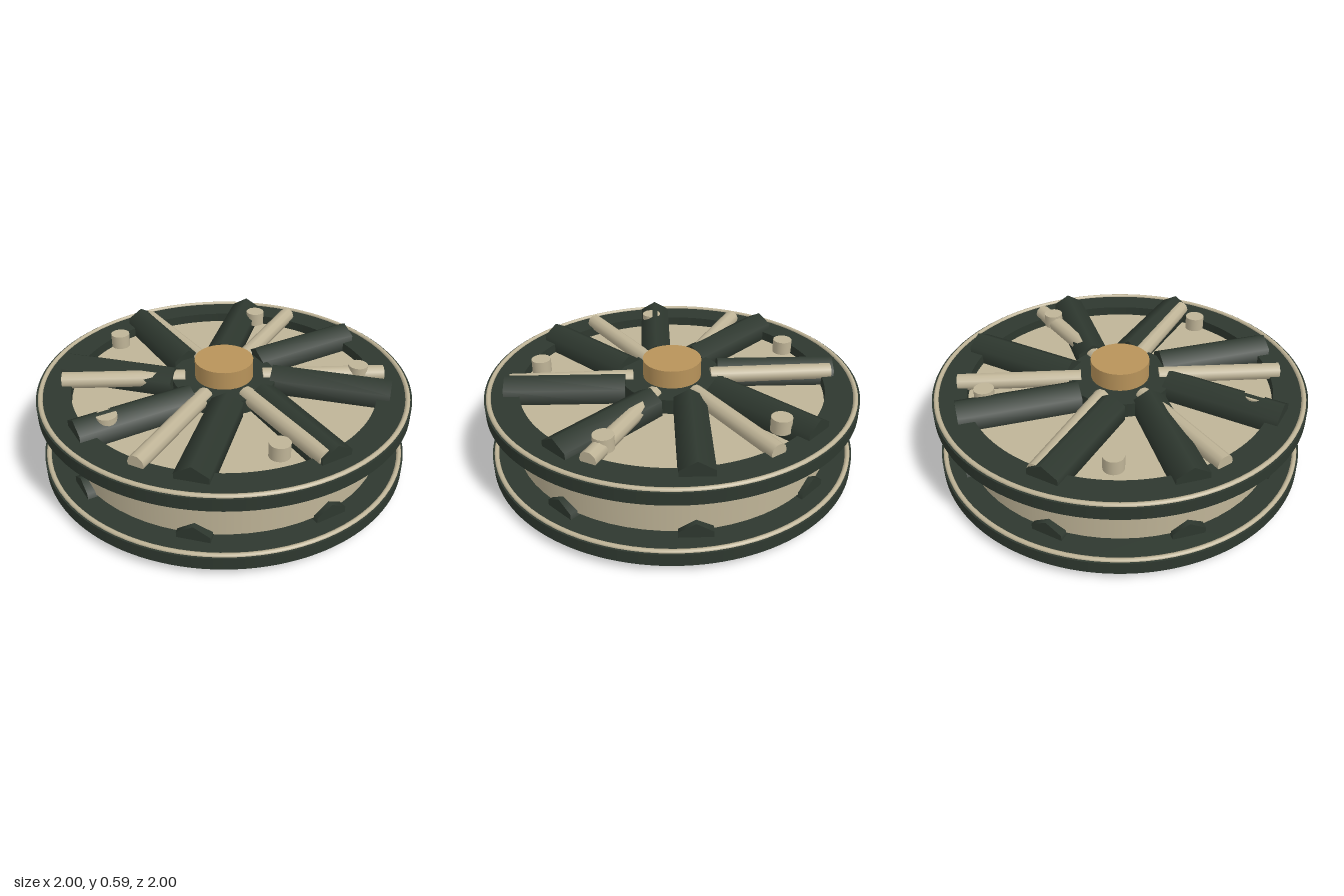
import * as THREE from 'three';

const mat = (name, color) => Object.assign(new THREE.MeshStandardMaterial({ color }), { name });

export function createModel() {
  const dark = mat('dark green', 0x2e382f);
  const cream = mat('cream', 0xbfb497);
  const brass = mat('brass', 0xb8935a);
  const wheel = new THREE.Group();
  wheel.name = 'spokedSpool';

  const add = (parent, name, geometry, material, x = 0, y = 0, z = 0, turn = 0) => {
    const mesh = new THREE.Mesh(geometry, material);
    mesh.name = name;
    mesh.position.set(x, y, z);
    mesh.rotation.y = turn;
    parent.add(mesh);
    return mesh;
  };
  // Places count copies on a circle; twist turns each one off its radius
  const around = (parent, name, geometry, material, count, r, y, start = 0, twist = 0) => {
    for (let i = 0; i < count; i++) {
      const a = start + (i / count) * Math.PI * 2;
      add(parent, name, geometry, material, r * Math.cos(a), y, -r * Math.sin(a), a + twist);
    }
  };

  // Flat ring with a square section, base at y = 0
  const outline = new THREE.Shape().absarc(0, 0, 1, 0, Math.PI * 2);
  outline.holes.push(new THREE.Path().absarc(0, 0, 0.82, 0, Math.PI * 2, true));
  const rimGeo = new THREE.ExtrudeGeometry(outline, { depth: 0.067, bevelEnabled: false, curveSegments: 64 });
  rimGeo.rotateX(-Math.PI / 2);
  const trimGeo = new THREE.TorusGeometry(0.978, 0.013, 8, 96).rotateX(Math.PI / 2);
  const spokeGeo = new THREE.CylinderGeometry(0.097, 0.097, 0.635, 6).rotateY(Math.PI / 2).rotateZ(-Math.PI / 2);
  const hubGeo = new THREE.CylinderGeometry(0.28, 0.28, 0.1, 32);

  // Two matching flanges, each with eight twisted spokes
  for (const [name, y] of [['lowerFlange', 0.055], ['upperFlange', 0.405]]) {
    const flange = new THREE.Group();
    flange.name = name;
    flange.position.y = y;
    wheel.add(flange);
    add(flange, 'rim', rimGeo, dark);
    add(flange, 'rimTrim', trimGeo, cream, 0, 0.066);
    add(flange, 'hub', hubGeo, dark, 0, 0.045);
    around(flange, 'spoke', spokeGeo, dark, 8, 0.575, 0.05,
      THREE.MathUtils.degToRad(36), THREE.MathUtils.degToRad(-8.3));
  }

  // Closed drum between the flanges
  add(wheel, 'drum', new THREE.CylinderGeometry(0.86, 0.86, 0.28, 64), cream, 0, 0.28);

  // Slim rods, pegs and the centre cap on the upper side
  const rodGeo = new THREE.CylinderGeometry(0.045, 0.045, 0.66, 10).rotateZ(-Math.PI / 2);
  around(wheel, 'rod', rodGeo, cream, 6, 0.54, 0.487);
  around(wheel, 'peg', new THREE.CylinderGeometry(0.053, 0.053, 0.075, 20), cream, 5, 0.73, 0.506);
  add(wheel, 'centreCap', new THREE.CylinderGeometry(0.157, 0.157, 0.16, 32), brass, 0, 0.52);

  return wheel;
}
